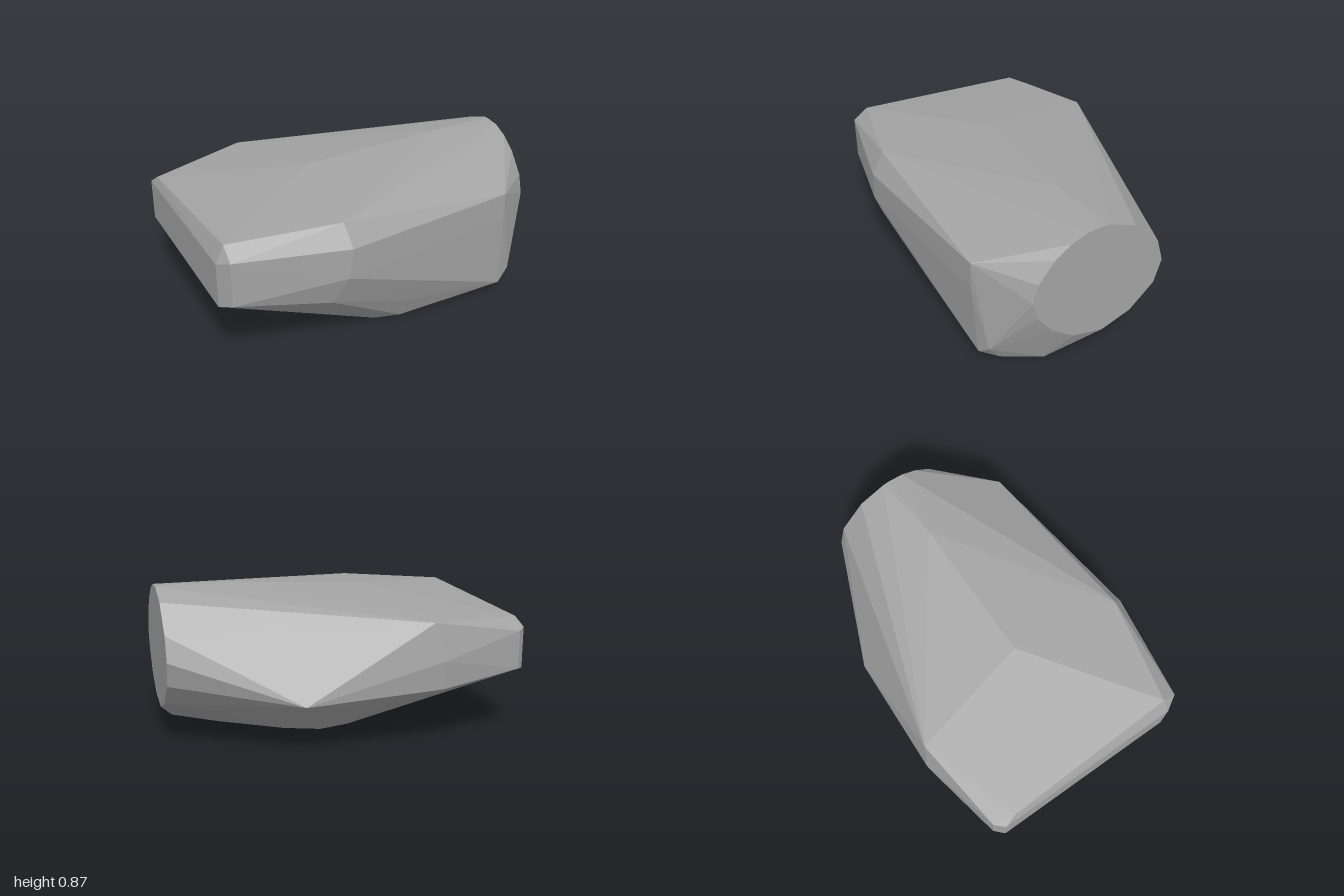
import * as THREE from 'three';
import { ConvexGeometry } from 'three/addons/geometries/ConvexGeometry.js';

// Faceted boulder: the convex skin around a few chiselled rims.
export function createModel() {
  const stone = new THREE.MeshStandardMaterial({ color: 0xa3a3a3 });
  stone.name = 'grey stone';

  // Round cut end, as [y, z] at x = 1
  const cutEnd = [
    [0.52, 0.39], [0.63, 0.36], [0.75, 0.27], [0.82, 0.18], [0.86, 0.09], [0.87, 0],
    [0.867, -0.04], [0.81, -0.2], [0.66, -0.35], [0.52, -0.39], [0.38, -0.35],
    [0.24, -0.21], [0.17, -0.04], [0.2, 0.14], [0.29, 0.27], [0.41, 0.36],
  ].map(([y, z]) => [1, y, z]);

  // Narrow end with a bevelled border
  const narrowEnd = [
    [-1, 0.62, -0.58], [-1, 0.38, -0.58], [-1, 0.37, 0.54], [-1, 0.62, 0.54],
    [-0.95, 0.4, 0.62], [-0.95, 0.65, 0.62], [-0.95, 0.715, 0.53],
    [-0.95, 0.61, -0.63], [-0.95, 0.39, -0.63], [-0.98, 0.67, -0.51],
  ];

  // Crest along the top
  const crest = [[-0.25, 0.81, 0.01], [0.6, 0.865, 0.01]];

  // Front shoulder and flank
  const front = [
    [-0.34, 0.755, 0.655], [-0.32, 0.63, 0.73], [-0.34, 0.46, 0.73], [-0.41, 0.3, 0.67],
    [0.72, 0.66, 0.6], [0.72, 0.5, 0.6], [0.74, 0.06, 0.575], [0.82, 0.13, 0.55],
    [0.09, 0.135, 0.605],
  ];

  // Back shoulder and flank
  const back = [
    [-0.4, 0.71, -0.7], [-0.45, 0.5, -0.735], [-0.45, 0.34, -0.72],
    [0.32, 0.3, -0.69], [-0.26, 0.26, -0.63],
  ];

  // Flat base
  const base = [
    [0.8, 0.03, 0.48], [0.9, 0.015, 0.26], [0.08, 0.008, 0.545], [-0.06, 0, 0.5],
    [-0.22, 0, 0.28], [-0.25, 0, 0.12], [-0.22, 0, -0.05], [-0.08, 0, -0.18],
    [0.1, 0, -0.22], [0.3, 0, -0.14], [0.65, 0, 0.1],
  ];

  const points = [cutEnd, narrowEnd, crest, front, back, base]
    .flat().map((p) => new THREE.Vector3(...p));
  const boulder = new THREE.Mesh(new ConvexGeometry(points), stone);
  boulder.name = 'boulder';

  const model = new THREE.Group();
  model.name = 'rock';
  model.add(boulder);
  return model;
}
